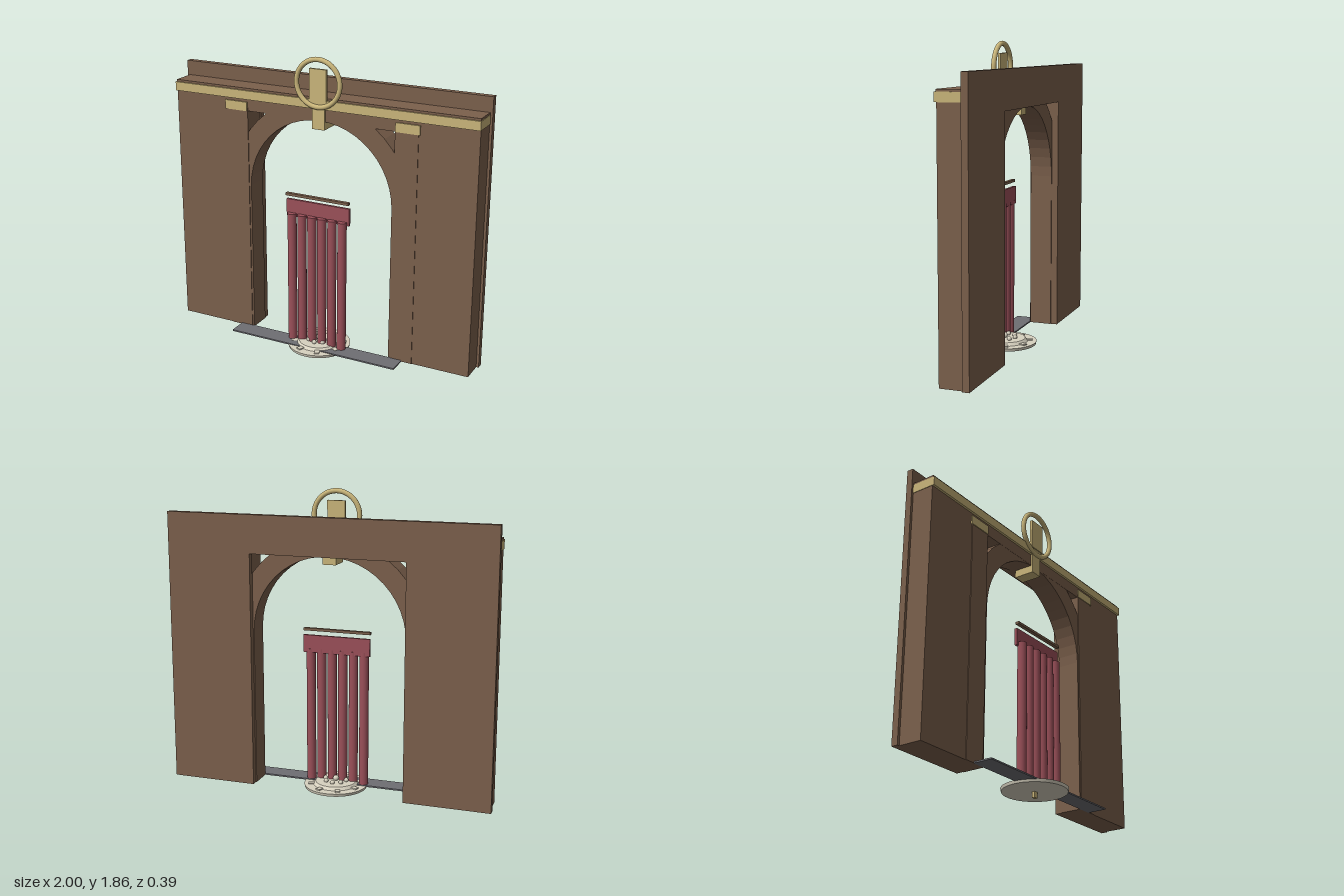
import * as THREE from 'three';

const material = (color, extra = {}) => new THREE.MeshStandardMaterial({ color, ...extra });

export function createModel() {
  const root = new THREE.Group();
  const wood = material(0x7b604c);
  const gold = material(0xc9b57a);
  const cloth = material(0x9b5059);
  const slate = material(0x6e6e73);
  const shell = material(0xd8d2c0);

  const add = (name, geometry, mat, x = 0, y = 0, z = 0, parent = root) => {
    const mesh = new THREE.Mesh(geometry, mat);
    mesh.name = name;
    mesh.position.set(x, y, z);
    parent.add(mesh);
    return mesh;
  };
  // Box given by its limits on each axis
  const block = (name, mat, [x0, x1], [y0, y1], [z0, z1], parent = root) =>
    add(name, new THREE.BoxGeometry(x1 - x0, y1 - y0, z1 - z0), mat,
      (x0 + x1) / 2, (y0 + y1) / 2, (z0 + z1) / 2, parent);
  const extrude = (shape, depth) =>
    new THREE.ExtrudeGeometry(shape, { depth, bevelEnabled: false, curveSegments: 12 });

  // Back slab with a square-headed doorway
  const slab = new THREE.Shape([
    [-1, 0.05], [-0.475, 0.05], [-0.475, 1.48], [0.475, 1.48],
    [0.475, 0.05], [1, 0.05], [1, 1.71], [-1, 1.71],
  ].map(([x, y]) => new THREE.Vector2(x, y)));
  add('backSlab', extrude(slab, 0.04), wood, 0, 0, -0.18);

  // Piers, pilasters and capitals on both sides
  for (const s of [-1, 1]) {
    const span = (a, b) => (s > 0 ? [a, b] : [-b, -a]);
    block('pier', wood, span(0.62, 0.985), [0.05, 1.6], [-0.14, 0]);
    block('pilaster', wood, span(0.482, 0.625), [0.05, 1.5], [-0.14, 0.004]);
    block('capital', gold, span(0.485, 0.635), [1.48, 1.535], [-0.1, 0.009]);
  }

  // Lintel, cornice and ledge
  block('lintel', wood, [-0.63, 0.63], [1.48, 1.6], [-0.14, 0]);
  block('cornice', gold, [-0.988, 0.988], [1.553, 1.607], [-0.14, 0.014]);
  block('ledge', wood, [-0.985, 0.985], [1.607, 1.62], [-0.14, 0.004]);

  // Round arch, a faceted ring standing on straight legs
  const arch = new THREE.Shape();
  arch.moveTo(0.59, 0.05);
  arch.lineTo(0.59, 1.01);
  arch.absarc(0, 1.01, 0.59, 0, Math.PI, false);
  arch.lineTo(-0.59, 0.05);
  arch.lineTo(-0.47, 0.05);
  arch.lineTo(-0.47, 1.01);
  arch.absarc(0, 1.01, 0.47, Math.PI, 0, true);
  arch.lineTo(0.47, 0.05);
  add('arch', extrude(arch, 0.138), wood, 0, 0, -0.139);
  block('keystone', gold, [-0.04, 0.04], [1.43, 1.56], [-0.12, 0.012]);

  // Ring emblem with its upright plate
  add('crestRing', new THREE.TorusGeometry(0.14, 0.015, 16, 64), gold, 0, 1.705, 0.015);
  block('crestPlate', gold, [-0.055, 0.055], [1.6, 1.79], [0.004, 0.02]);

  // Hanging curtain: folds, valance and rod
  const curtain = new THREE.Group();
  curtain.name = 'curtain';
  root.add(curtain);
  for (let i = 0; i < 6; i++) {
    add('curtainFold', new THREE.CylinderGeometry(0.028, 0.028, 0.84, 20), cloth,
      (i - 2.5) * 0.0675, 0.47, 0.03, curtain);
  }
  block('valance', cloth, [-0.21, 0.21], [0.868, 0.975], [0.005, 0.022], curtain);
  block('curtainRod', wood, [-0.21, 0.21], [1.0, 1.016], [0.012, 0.035], curtain);

  // Threshold step
  block('threshold', slate, [-0.56, 0.56], [0.049, 0.058], [0, 0.12]);

  // Round dish on a peg, with petals and pearls
  const dish = new THREE.Group();
  dish.name = 'dish';
  root.add(dish);
  add('dishBase', new THREE.CylinderGeometry(0.195, 0.19, 0.018, 48), shell, 0, 0.044, 0, dish);
  add('dishTop', new THREE.CylinderGeometry(0.125, 0.14, 0.018, 48), shell, 0, 0.062, 0, dish);
  block('peg', gold, [-0.014, 0.014], [0, 0.036], [-0.01, 0.01], dish);
  for (let i = 0; i < 8; i++) {
    const a = (i / 8) * Math.PI * 2;
    const petal = add('petal', new THREE.BoxGeometry(0.03, 0.008, 0.05), shell,
      Math.sin(a + 0.39) * 0.145, 0.056, Math.cos(a + 0.39) * 0.145, dish);
    petal.rotation.y = a + 0.39;
    add('pearl', new THREE.SphereGeometry(0.014, 16, 12), shell,
      Math.sin(a) * 0.067, 0.079, Math.cos(a) * 0.067, dish);
  }
  add('centrePearl', new THREE.SphereGeometry(0.018, 16, 12), shell, 0, 0.085, 0, dish);

  return root;
}
